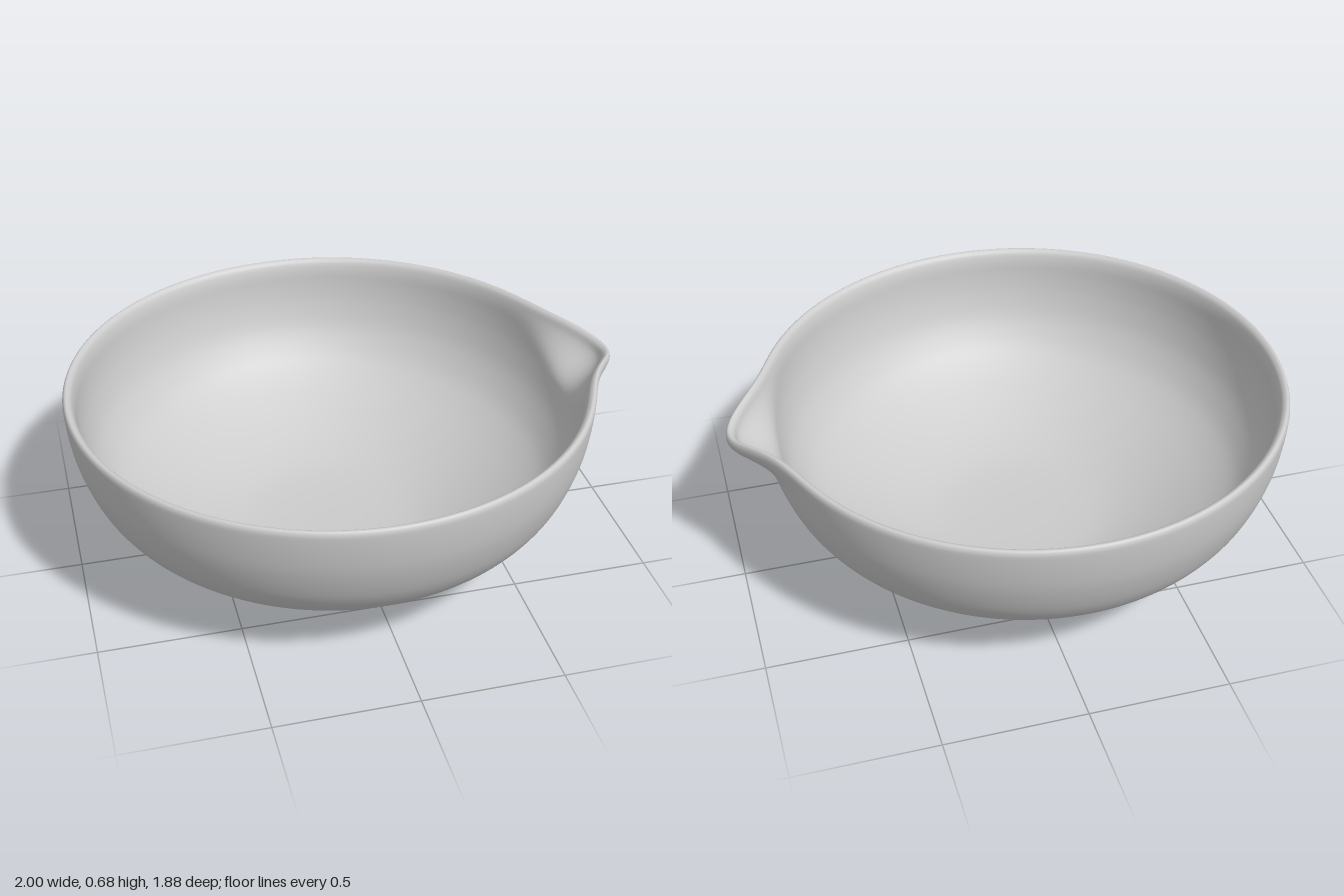
import * as THREE from 'three';
import { mergeVertices } from 'three/addons/utils/BufferGeometryUtils.js';

const CENTRE_X = -0.06;
const bell = (d, width) => Math.exp(-0.5 * (d / width) ** 2);

// Half section of the bowl: base, outer wall, rounded rim, inner wall, floor
function bowlProfile() {
  const outer = [
    [0, 0], [0.2, 0.002], [0.3, 0.008], [0.37, 0.018], [0.415, 0.034], [0.48, 0.065],
    [0.57, 0.108], [0.66, 0.153], [0.735, 0.2], [0.81, 0.267], [0.86, 0.335],
    [0.893, 0.405], [0.92, 0.49], [0.934, 0.57], [0.94, 0.64],
  ];
  const rim = [[0.938, 0.662], [0.93, 0.671], [0.919, 0.668], [0.908, 0.655]];
  const inner = [
    [0.899, 0.62], [0.893, 0.56], [0.88, 0.49], [0.854, 0.41], [0.818, 0.345], [0.77, 0.285],
    [0.7, 0.23], [0.62, 0.182], [0.53, 0.137], [0.42, 0.093], [0.3, 0.062], [0.15, 0.05], [0, 0.048],
  ];
  const points = [...outer, ...rim, ...inner].map(([r, y]) => new THREE.Vector2(r, y));
  const smooth = new THREE.SplineCurve(points).getPoints(124);
  smooth.forEach((p) => { p.x = Math.max(p.x, 0); p.y = Math.max(p.y, 0); });
  smooth[0].x = smooth[smooth.length - 1].x = 0;
  return smooth;
}

// Pull the wall outward into a pouring lip at +x and dip the rim there
function pullSpout(geometry) {
  const pos = geometry.attributes.position;
  for (let i = 0; i < pos.count; i++) {
    const x = pos.getX(i), y = pos.getY(i), z = pos.getZ(i);
    if (x < 0 || y < 0.3) continue;
    const lift = THREE.MathUtils.smoothstep(y, 0.49, 0.645);
    // the channel is narrow below and opens toward the rim
    const pull = 0.12 * lift * bell(z, 0.06 + 0.066 * lift);
    const dip = lift * (0.012 * bell(z, 0.3) - 0.04 * bell(z, 0.1));
    pos.setXYZ(i, x + pull, y + dip, z);
  }
}

export function createModel() {
  const group = new THREE.Group();
  group.name = 'pouringBowl';

  // Bowl shell with the lip formed in one surface
  const lathe = new THREE.LatheGeometry(bowlProfile(), 288, -Math.PI / 2);
  pullSpout(lathe);
  lathe.deleteAttribute('uv');
  lathe.deleteAttribute('normal');
  const geometry = mergeVertices(lathe, 1e-5);
  geometry.computeVertexNormals();

  const bowl = new THREE.Mesh(
    geometry,
    new THREE.MeshStandardMaterial({ color: 0xcccccc, side: THREE.DoubleSide }),
  );
  bowl.name = 'bowlWithSpout';
  bowl.position.x = CENTRE_X;
  group.add(bowl);
  return group;
}
